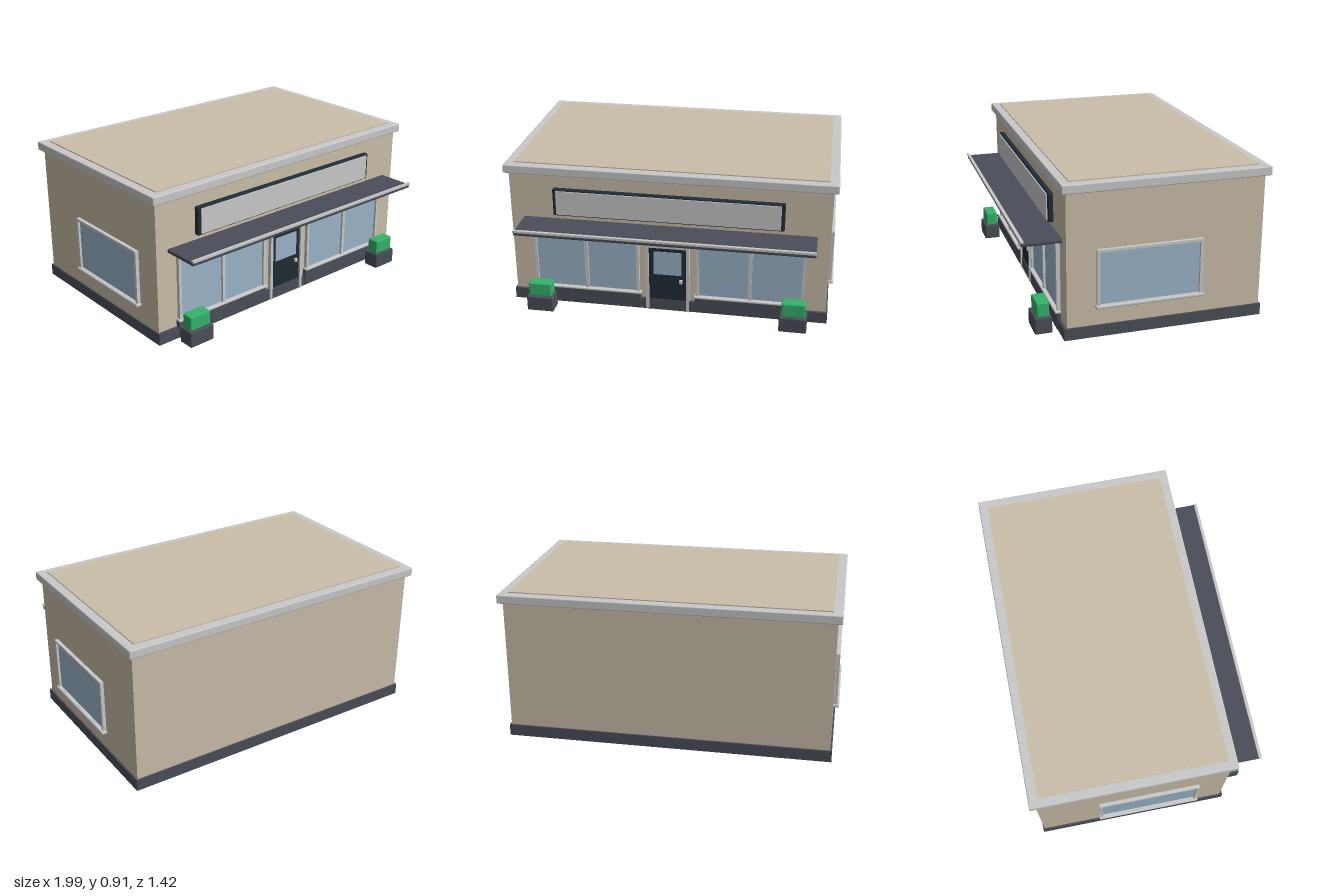
import * as THREE from 'three';
import { RoundedBoxGeometry } from 'three/addons/geometries/RoundedBoxGeometry.js';

export function createModel() {
  const model = new THREE.Group();
  model.name = 'shop';

  const mat = (name, color) => {
    const m = new THREE.MeshStandardMaterial({ color });
    m.name = name;
    return m;
  };
  const wall = mat('beige wall', 0xcabea9);
  const trim = mat('pale grey trim', 0xc9c9ca);
  const slate = mat('slate grey', 0x4a4e58);
  const navy = mat('dark navy', 0x202c37);
  const glass = mat('blue glass', 0x9ab5c9);
  const green = mat('hedge green', 0x35b26a);

  // Box given by its limits on each axis; a radius rounds its edges
  const box = (parent, name, material, [x0, x1], [y0, y1], [z0, z1], radius = 0) => {
    const size = [x1 - x0, y1 - y0, z1 - z0];
    const geo = radius ? new RoundedBoxGeometry(...size, 2, radius) : new THREE.BoxGeometry(...size);
    const mesh = new THREE.Mesh(geo, material);
    mesh.name = name;
    mesh.position.set((x0 + x1) / 2, (y0 + y1) / 2, (z0 + z1) / 2);
    parent.add(mesh);
    return mesh;
  };

  const rect = (target, x0, x1, y0, y1) => {
    target.moveTo(x0, y0).lineTo(x1, y0).lineTo(x1, y1).lineTo(x0, y1).closePath();
    return target;
  };

  // Flat frame in the xy plane with rectangular openings, standing on z = 0
  const frame = (parent, name, outer, holes, depth) => {
    const shape = rect(new THREE.Shape(), ...outer);
    holes.forEach(h => shape.holes.push(rect(new THREE.Path(), ...h)));
    const mesh = new THREE.Mesh(new THREE.ExtrudeGeometry(shape, { depth, bevelEnabled: false }), trim);
    mesh.name = name;
    parent.add(mesh);
    return mesh;
  };

  const group = (name) => {
    const g = new THREE.Group();
    g.name = name;
    model.add(g);
    return g;
  };

  // Building shell
  box(model, 'walls', wall, [-0.963, 0.963], [0.02, 0.86], [-0.68, 0.475]);
  box(model, 'plinth', slate, [-0.973, 0.973], [0, 0.07], [-0.69, 0.493]);
  box(model, 'roofTrim', trim, [-0.99, 0.99], [0.856, 0.908], [-0.71, 0.502], 0.006);
  box(model, 'roofPanel', wall, [-0.935, 0.935], [0.9, 0.914], [-0.655, 0.45]);

  // Sign board without lettering
  box(model, 'signBoard', navy, [-0.693, 0.693], [0.6, 0.772], [0.47, 0.504], 0.008);
  box(model, 'signPanel', trim, [-0.672, 0.672], [0.61, 0.762], [0.503, 0.511]);

  // Canopy with a pale strip along its front edge
  box(model, 'canopy', slate, [-0.886, 0.886], [0.546, 0.57], [0.47, 0.702], 0.008);
  box(model, 'canopyStrip', trim, [-0.886, 0.886], [0.567, 0.58], [0.688, 0.706]);

  // Door
  const door = group('door');
  frame(door, 'doorFrame', [-0.134, 0.134, 0, 0.45], [[-0.115, 0.115, 0, 0.428]], 0.03).position.z = 0.47;
  box(door, 'doorLeaf', navy, [-0.115, 0.115], [0, 0.428], [0.47, 0.488]);
  box(door, 'doorGlass', glass, [-0.086, 0.086], [0.245, 0.4], [0.487, 0.491]);
  box(door, 'doorHandle', trim, [0.072, 0.092], [0.193, 0.217], [0.485, 0.503], 0.004);

  for (const side of [-1, 1]) {
    const label = side > 0 ? 'left' : 'right';
    const cx = side * 0.502;

    // Front display window over its low panel
    const display = group(label + 'DisplayWindow');
    display.position.x = cx;
    frame(display, 'displayFrame', [-0.327, 0.327, 0.1, 0.52],
      [[-0.31, -0.011, 0.118, 0.503], [0.011, 0.31, 0.118, 0.503]], 0.028).position.z = 0.47;
    box(display, 'displayGlass', glass, [-0.312, 0.312], [0.115, 0.505], [0.476, 0.484]);
    box(display, 'lowPanel', slate, [-0.335, 0.335], [0.004, 0.106], [0.47, 0.5], 0.005);
    box(display, 'displaySill', trim, [-0.338, 0.338], [0.104, 0.118], [0.47, 0.51], 0.005);

    // Side window, built facing +z and turned outwards
    const sideWindow = group(label + 'SideWindow');
    sideWindow.position.set(side * 0.96, 0, -0.005);
    sideWindow.rotation.y = side * Math.PI / 2;
    frame(sideWindow, 'sideFrame', [-0.31, 0.31, 0.18, 0.522], [[-0.293, 0.293, 0.195, 0.507]], 0.025);
    box(sideWindow, 'sideGlass', glass, [-0.295, 0.295], [0.193, 0.509], [0.004, 0.011]);
    box(sideWindow, 'sideSill', trim, [-0.319, 0.319], [0.176, 0.194], [0, 0.037], 0.006);

    // Planter with a clipped hedge
    const planter = group(label + 'Planter');
    planter.position.x = side * 0.773;
    box(planter, 'planterTub', slate, [-0.083, 0.083], [0, 0.097], [0.53, 0.632], 0.008);
    box(planter, 'hedge', green, [-0.071, 0.071], [0.095, 0.184], [0.543, 0.617], 0.008);
  }

  return model;
}
